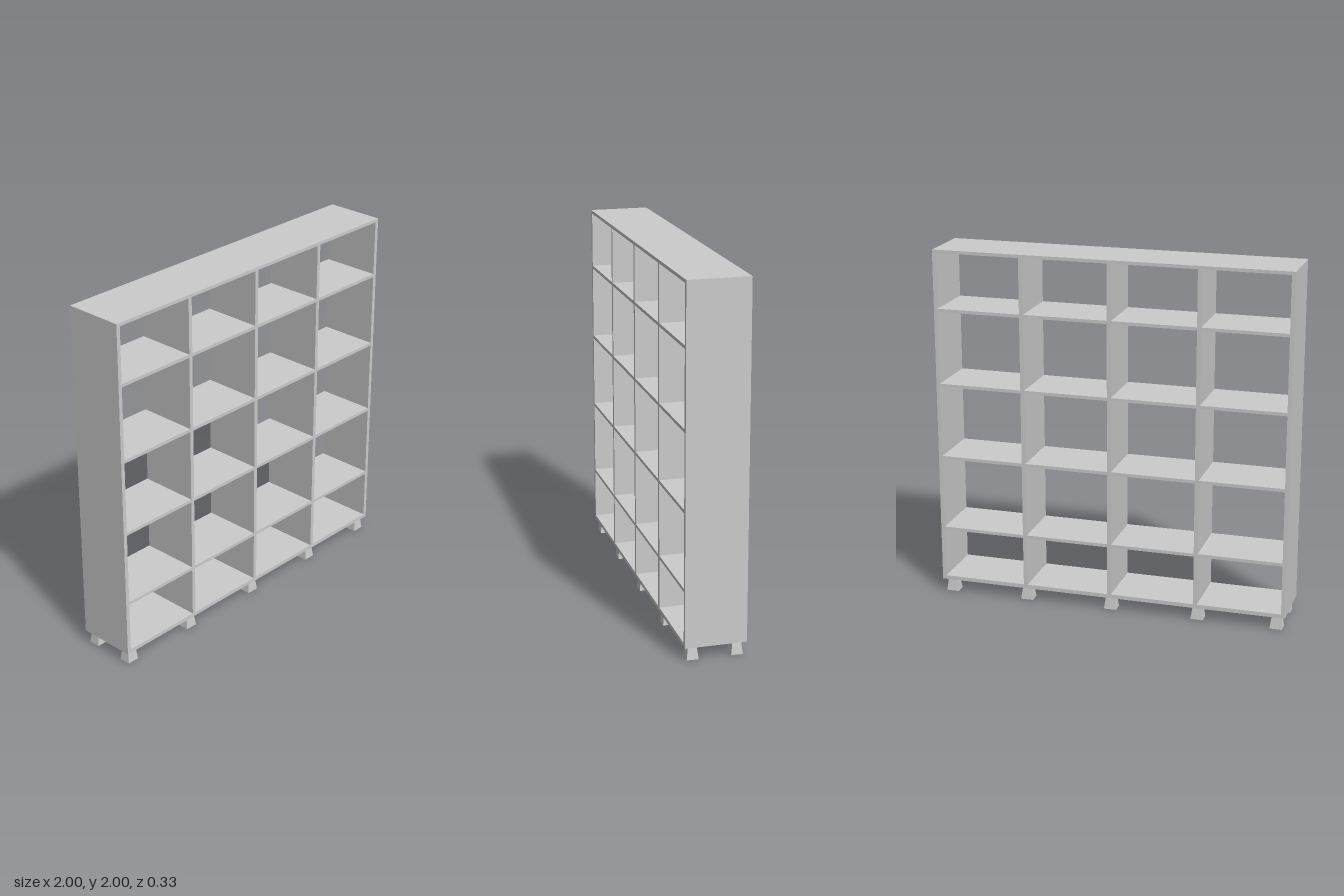
import * as THREE from 'three';

const DEPTH = 0.334;
const BASE = 0.075; // underside of the case
const PANEL = 0.022;
const SHELF = 0.018;

export function createModel() {
  const model = new THREE.Group();
  const material = new THREE.MeshStandardMaterial({ color: 0xcccccc, flatShading: true });

  function add(name, geometry, x, y, z = 0) {
    const mesh = new THREE.Mesh(geometry, material);
    mesh.name = name;
    mesh.position.set(x, y, z);
    model.add(mesh);
  }

  // Outer sides
  const sideHeight = 2 - BASE;
  for (const s of [-1, 1]) {
    add(s > 0 ? 'leftSide' : 'rightSide',
      new THREE.BoxGeometry(PANEL, sideHeight, DEPTH), s * (1 - PANEL / 2), BASE + sideHeight / 2);
  }

  // Top and bottom boards between the sides
  const inner = 2 - 2 * PANEL;
  add('topBoard', new THREE.BoxGeometry(inner, SHELF, DEPTH), 0, 2 - SHELF / 2);
  add('bottomBoard', new THREE.BoxGeometry(inner, PANEL, DEPTH), 0, BASE + PANEL / 2);

  // Upright dividers
  const low = BASE + PANEL;
  const high = 2 - SHELF;
  const dividers = [-0.495, 0, 0.495];
  for (const x of dividers) {
    add('divider', new THREE.BoxGeometry(PANEL, high - low, DEPTH), x, (low + high) / 2);
  }

  // Shelves, one board per bay
  const edges = [-1 + PANEL / 2, ...dividers, 1 - PANEL / 2];
  for (const y of [0.388, 0.813, 1.236, 1.663]) {
    for (let i = 0; i < 4; i++) {
      const width = edges[i + 1] - edges[i] - PANEL;
      add('shelf', new THREE.BoxGeometry(width, SHELF, DEPTH), (edges[i] + edges[i + 1]) / 2, y);
    }
  }

  // Square feet that widen toward the floor
  const foot = new THREE.CylinderGeometry(0.05 * Math.SQRT1_2, 0.07 * Math.SQRT1_2, BASE, 4);
  foot.rotateY(Math.PI / 4).scale(1, 1, 0.92);
  for (const x of [-0.948, -0.502, 0, 0.494, 0.948]) {
    for (const z of [-0.12, 0.12]) add('foot', foot, x, BASE / 2, z);
  }

  return model;
}
